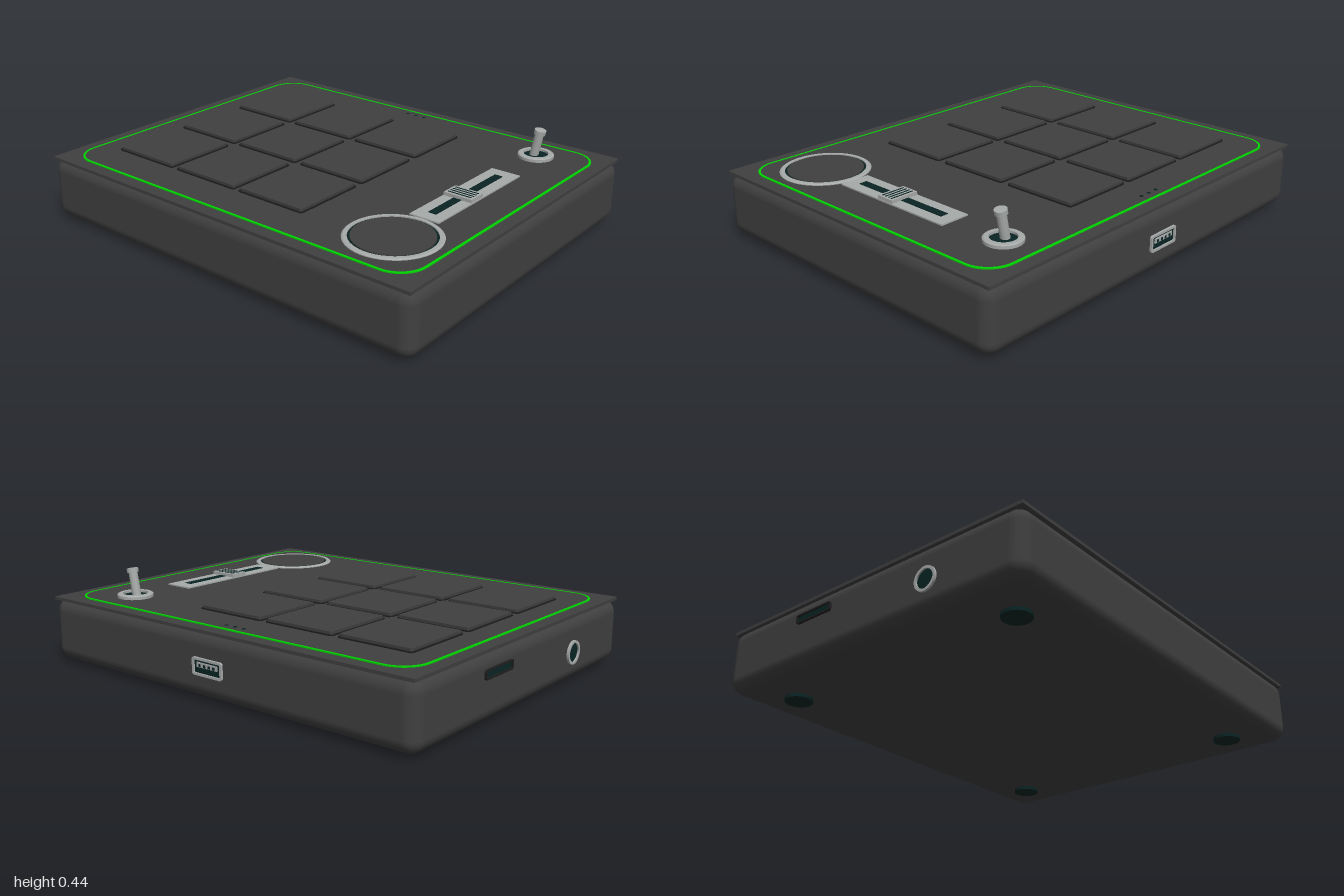
import * as THREE from 'three';
import { RoundedBoxGeometry } from 'three/addons/geometries/RoundedBoxGeometry.js';

const mat = (name, color) => {
  const m = new THREE.MeshStandardMaterial({ color });
  m.name = name;
  return m;
};

// Rounded rectangle outline centred on the origin
function roundRect(w, h, r, Type = THREE.Shape) {
  const s = new Type(), x = w / 2, y = h / 2, q = Math.PI / 2;
  s.absarc(x - r, y - r, r, 0, q);
  s.absarc(-x + r, y - r, r, q, 2 * q);
  s.absarc(-x + r, -y + r, r, 2 * q, 3 * q);
  s.absarc(x - r, -y + r, r, 3 * q, 4 * q);
  s.closePath();
  return s;
}

const extrude = (shape, depth) =>
  new THREE.ExtrudeGeometry(shape, { depth, bevelEnabled: false, curveSegments: 10 });

export function createModel() {
  const model = new THREE.Group();
  model.name = 'padController';
  const shell = mat('charcoal', 0x404040);
  const seam = mat('seamBlack', 0x1e1e1e);
  const green = mat('green', 0x00d800);
  const metal = mat('lightGrey', 0xa6aaa8);
  const dark = mat('darkTeal', 0x0a2424);

  const add = (name, geo, material, x = 0, y = 0, z = 0, parent = model) => {
    const m = new THREE.Mesh(geo, material);
    m.name = name;
    m.position.set(x, y, z);
    parent.add(m);
    return m;
  };
  // Horizontal slab from y0 to y1, with an optional hole of the same kind
  const slab = (name, material, w, d, r, y0, y1, x = 0, z = 0, hole = null) => {
    const s = roundRect(w, d, r);
    if (hole) s.holes.push(roundRect(...hole, THREE.Path));
    return add(name, extrude(s, y1 - y0).rotateX(-Math.PI / 2), material, x, y0, z);
  };
  const disc = (name, material, r, y0, y1, x, z, rTop = r) =>
    add(name, new THREE.CylinderGeometry(rTop, r, y1 - y0, 40), material, x, (y0 + y1) / 2, z);
  const ring = (name, material, inner, outer, y0, y1, x, z) => {
    const p = [[inner, y0], [outer, y0], [outer, y1 - 0.004], [outer - 0.006, y1], [inner, y1], [inner, y0]];
    // Flat facets across the profile: each band gets its own normals
    const g = new THREE.Group();
    g.name = name;
    for (let i = 0; i < p.length - 1; i++) {
      const pts = [p[i], p[i + 1]].map(([a, b]) => new THREE.Vector2(a, b));
      add(name + 'Band', new THREE.LatheGeometry(pts, 48), material, 0, 0, 0, g);
    }
    g.position.set(x, 0, z);
    model.add(g);
  };

  // Case, square-cornered top plate, raised panel and its glowing outline
  add('case', new RoundedBoxGeometry(1.99, 0.285, 1.6, 5, 0.06), shell, 0, 0.1575, 0);
  add('topPlate', new THREE.BoxGeometry(1.97, 0.014, 1.59), shell, 0, 0.298, 0);
  slab('panel', shell, 1.838, 1.458, 0.115, 0.304, 0.309);
  slab('greenOutline', green, 1.856, 1.476, 0.124, 0.304, 0.31, 0, 0, [1.836, 1.456, 0.114]);

  // Feet
  for (const x of [-0.77, 0.77])
    for (const z of [-0.595, 0.595]) disc('foot', dark, 0.06, 0, 0.03, x, z);

  // Nine pads
  for (let i = 0; i < 3; i++)
    for (let j = 0; j < 3; j++) {
      const x = -0.635 + i * 0.375, z = (j - 1) * 0.384;
      slab('padSeam', seam, 0.352, 0.352, 0.014, 0.308, 0.314, x, z);
      slab('pad', shell, 0.338, 0.338, 0.01, 0.309, 0.325, x, z);
    }

  // Indicator dots
  for (const x of [-0.095, -0.047, 0.001]) disc('indicator', dark, 0.008, 0.306, 0.311, x, -0.69);

  // Slider track, slot and ribbed cap
  const cx = 0.69;
  add('sliderTrack', new THREE.BoxGeometry(0.138, 0.008, 0.614), metal, cx, 0.311, -0.012);
  add('sliderSlot', new THREE.BoxGeometry(0.038, 0.004, 0.5), dark, cx, 0.315, -0.01);
  add('sliderCap', new THREE.BoxGeometry(0.134, 0.018, 0.086), metal, cx, 0.321, 0.017);
  for (let i = 0; i < 4; i++)
    add('capRib', new THREE.BoxGeometry(0.112, 0.004, 0.006), dark, cx, 0.3295, -0.01 + i * 0.018);

  // Touch wheel
  ring('wheelRing', metal, 0.174, 0.196, 0.306, 0.316, cx, 0.495);
  disc('wheelGap', dark, 0.175, 0.306, 0.311, cx, 0.495);
  disc('wheel', shell, 0.164, 0.306, 0.316, cx, 0.495);

  // Joystick: collar, socket and a stick leaning outwards
  const jz = -0.577;
  ring('stickCollar', metal, 0.055, 0.08, 0.306, 0.326, cx, jz);
  disc('stickSocket', dark, 0.056, 0.306, 0.316, cx, jz);
  const stick = new THREE.Group();
  stick.name = 'joystick';
  stick.position.set(0.68, 0.31, jz);
  stick.rotation.z = -0.19;
  model.add(stick);
  add('stickShaft', new THREE.CylinderGeometry(0.02, 0.02, 0.125, 24), metal, 0, 0.0625, 0, stick);
  add('stickCap', new THREE.CylinderGeometry(0.026, 0.026, 0.02, 24), metal, 0, 0.12, 0, stick);

  // Sockets are built facing +z, then turned onto their wall
  const socket = (name, x, y, z, turn) => {
    const g = new THREE.Group();
    g.name = name;
    g.position.set(x, y, z);
    g.rotation.y = turn;
    model.add(g);
    return g;
  };
  const frame = (name, w, h, r, t, material, g) => {
    const s = roundRect(w, h, r);
    s.holes.push(roundRect(w - 2 * t, h - 2 * t, r - t / 2, THREE.Path));
    add(name, extrude(s, 0.016), material, 0, 0, -0.006, g);
  };

  // Rear data port with tongue and contacts
  const rear = socket('rearPort', 0, 0.155, -0.8, Math.PI);
  frame('portFrame', 0.165, 0.074, 0.01, 0.01, metal, rear);
  add('portWell', new THREE.BoxGeometry(0.148, 0.056, 0.01), dark, 0, 0, -0.002, rear);
  add('portTongue', new THREE.BoxGeometry(0.115, 0.02, 0.008), metal, 0, 0.008, 0.004, rear);
  for (let i = 0; i < 4; i++)
    add('portContact', new THREE.BoxGeometry(0.012, 0.012, 0.004), dark, -0.039 + i * 0.026, 0.006, 0.007, rear);

  // Side card slot
  const card = socket('cardSlot', -0.995, 0.215, -0.26, -Math.PI / 2);
  frame('slotFrame', 0.2, 0.04, 0.01, 0.007, seam, card);
  add('slotWell', new THREE.BoxGeometry(0.188, 0.028, 0.01), dark, 0, 0, -0.002, card);

  // Side audio jack
  const jack = socket('audioJack', -0.995, 0.145, 0.355, -Math.PI / 2);
  frame('jackRing', 0.104, 0.104, 0.052, 0.01, metal, jack);
  add('jackWell', new THREE.CylinderGeometry(0.044, 0.044, 0.01, 32).rotateX(Math.PI / 2), dark, 0, 0, -0.002, jack);

  return model;
}
